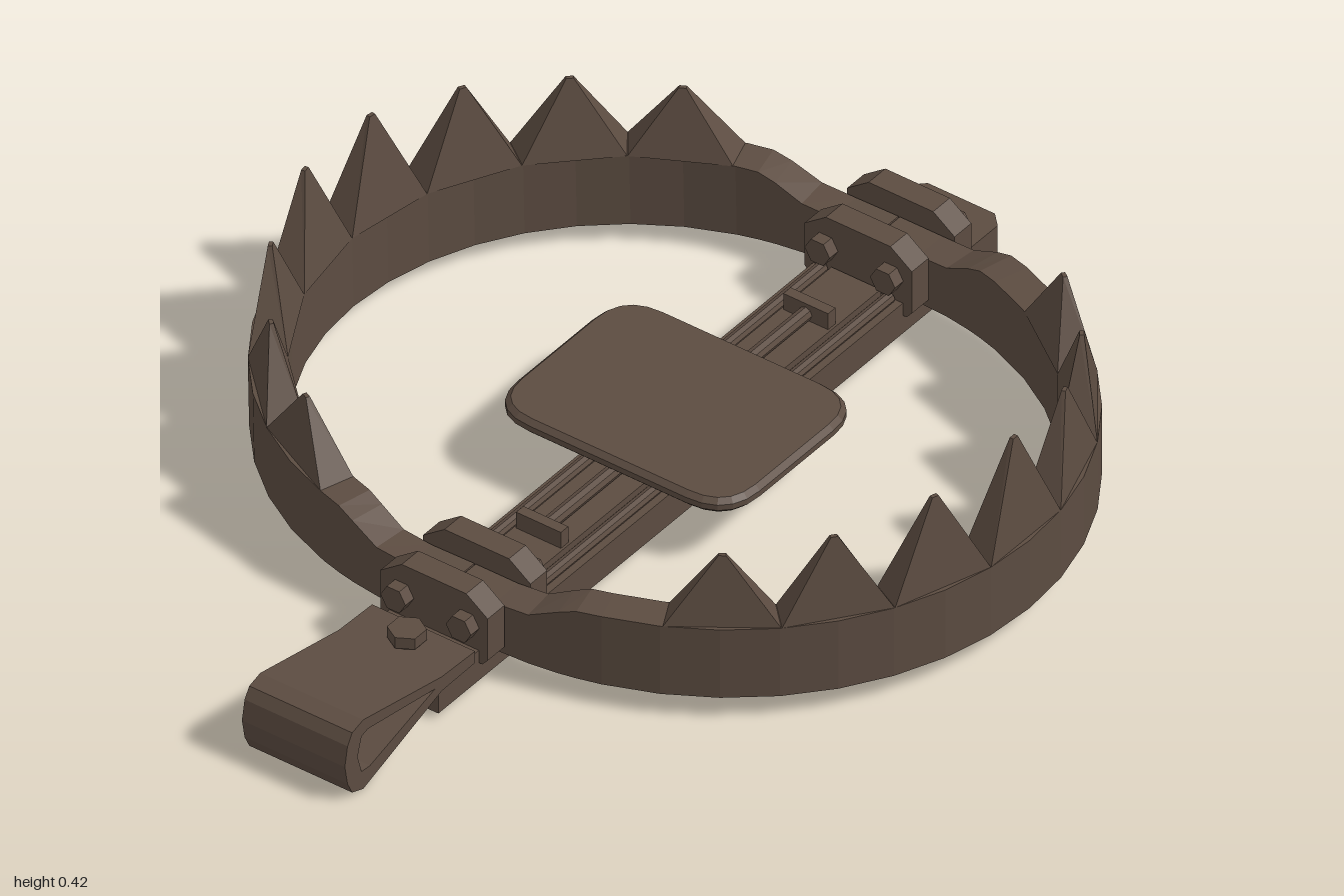
import * as THREE from 'three';

const CX = 0.145;          // centre of the jaws along x
const RX = 0.635, RZ = 0.66, OFF = 0.095, HALF = 0.036;
const rad = THREE.MathUtils.degToRad;

// Solid lofted through four-cornered rings, capped at both ends
function loft(rings) {
  const pos = [];
  const quad = (a, b, c, d) => [a, b, c, a, c, d].forEach(p => pos.push(...p));
  for (let i = 0; i < rings.length - 1; i++) {
    const A = rings[i], B = rings[i + 1];
    for (let k = 0; k < 4; k++) {
      const n = (k + 1) % 4;
      quad(A[k], B[k], B[n], A[n]);
    }
  }
  quad(...rings[0]);
  quad(...[...rings[rings.length - 1]].reverse());
  const g = new THREE.BufferGeometry();
  g.setAttribute('position', new THREE.Float32BufferAttribute(pos, 3));
  g.computeVertexNormals();
  return g;
}

// Point on the jaw's oval; d is the offset outward from the centre line
const onOval = (deg, d, y) =>
  [(RX + d) * Math.sin(rad(deg)), y, OFF + (RZ + d) * Math.cos(rad(deg))];

const polygon = pts => new THREE.Shape(pts.map(p => new THREE.Vector2(p[0], p[1])));

function roundedRect(w, h, r) {
  const s = new THREE.Shape();
  const x = w / 2, y = h / 2;
  s.moveTo(-x + r, -y);
  s.lineTo(x - r, -y); s.quadraticCurveTo(x, -y, x, -y + r);
  s.lineTo(x, y - r); s.quadraticCurveTo(x, y, x - r, y);
  s.lineTo(-x + r, y); s.quadraticCurveTo(-x, y, -x, y - r);
  s.lineTo(-x, -y + r); s.quadraticCurveTo(-x, -y, -x + r, -y);
  return s;
}

export function createModel() {
  const root = new THREE.Group();
  root.name = 'jawTrap';
  const iron = new THREE.MeshStandardMaterial({ color: 0x5c4c41, flatShading: true });
  iron.name = 'rustyIron';

  const add = (parent, name, geo, x = 0, y = 0, z = 0) => {
    const m = new THREE.Mesh(geo, iron);
    m.name = name;
    m.position.set(x, y, z);
    parent.add(m);
    return m;
  };
  const box = (name, w, h, d, x, y, z) => add(root, name, new THREE.BoxGeometry(w, h, d), x, y, z);

  // Curved jaw band with a row of pointed teeth
  function makeJaw(name, teeth) {
    const jaw = new THREE.Group();
    jaw.name = name;
    const bottom = 0.047;
    const topAt = z => z > 0.27 ? 0.2 : 0.152 + 0.048 * THREE.MathUtils.smoothstep(z, 0.14, 0.27);
    const ring = (deg, z) => {
      const top = topAt(z ?? onOval(deg, 0, 0)[2]);
      return [[-HALF, bottom], [HALF, bottom], [HALF, top], [-HALF, top]].map(([d, y]) => {
        const p = onOval(deg, d, y);
        if (z !== undefined) p[2] = z;
        return p;
      });
    };
    const half = [90, 84, 79, 76, 72, 63, 54, 45, 36, 27, 18, 9];
    const angles = [...half.map(a => -a), 0, ...[...half].reverse()];
    add(jaw, 'jawBand', loft([ring(-90, 0), ...angles.map(a => ring(a)), ring(90, 0)]));

    const step = 17.9;
    for (let i = 0; i < teeth; i++) {
      const a = (i - (teeth - 1) / 2) * step;
      const tipY = 0.418 - 0.0016 * Math.abs(a) + 0.000004 * a * a;
      const loop = (w, d, y) =>
        [[-w, -d], [-w, d], [w, d], [w, -d]].map(([da, dd]) => onOval(a + da, dd, y));
      add(jaw, 'tooth', loft([loop(0.6, 0.004, tipY), loop(step / 2, HALF, 0.199)]));
    }
    jaw.position.x = CX;
    root.add(jaw);
    return jaw;
  }
  makeJaw('frontJaw', 7);
  const back = makeJaw('backJaw', 8);
  back.rotation.set(-0.02, Math.PI, 0);

  // Base bar with clipped corners
  const bar = new THREE.ExtrudeGeometry(polygon([
    [-0.7, -0.1], [0.975, -0.1], [1, -0.075], [1, 0.075], [0.975, 0.1], [-0.7, 0.1],
  ]), { depth: 0.068, bevelEnabled: false });
  bar.rotateX(-Math.PI / 2);
  add(root, 'baseBar', bar, 0, 0.012, 0);

  // Raised strip, rods and stops on the bar
  box('centreStrip', 1.08, 0.016, 0.11, CX, 0.086, 0);
  for (const s of [-1, 1]) {
    const rod = new THREE.CylinderGeometry(0.012, 0.012, 1.08, 8).rotateZ(Math.PI / 2);
    add(root, 'sideRod', rod, CX, 0.086, s * 0.075);
    box('rodStop', 0.022, 0.04, 0.1, CX + s * 0.4, 0.11, 0);
  }
  add(root, 'panRod', new THREE.CylinderGeometry(0.014, 0.014, 0.8, 8).rotateZ(Math.PI / 2), CX, 0.108, 0);

  // Trigger pan on a short post
  const pan = new THREE.ExtrudeGeometry(roundedRect(0.39, 0.52, 0.085), {
    depth: 0.012, bevelEnabled: true, bevelThickness: 0.01, bevelSize: 0.01, bevelSegments: 1, curveSegments: 5,
  });
  pan.rotateX(-Math.PI / 2);
  add(root, 'triggerPan', pan, CX, 0.128, 0);
  box('panPost', 0.1, 0.05, 0.08, CX, 0.1, 0);

  // Hinge brackets: two plates either side of the jaw ends, with bolts
  const plateShape = polygon([
    [-0.108, 0.052], [0.108, 0.052], [0.12, 0.066], [0.12, 0.16], [0.072, 0.195],
    [-0.072, 0.195], [-0.12, 0.16], [-0.12, 0.066],
  ]);
  for (const s of [-1, 1]) {
    const hinge = new THREE.Group();
    hinge.name = s > 0 ? 'leftHinge' : 'rightHinge';
    hinge.position.x = CX + s * RX;
    for (const off of [-0.064, 0.064]) {
      const plate = new THREE.ExtrudeGeometry(plateShape, { depth: 0.05, bevelEnabled: false });
      plate.translate(0, 0, -0.025).rotateY(Math.PI / 2);
      add(hinge, 'hingePlate', plate, off, 0, 0);
    }
    for (const z of [-0.073, 0.073]) {
      const shaft = new THREE.CylinderGeometry(0.014, 0.014, 0.2, 8).rotateZ(Math.PI / 2);
      add(hinge, 'boltShaft', shaft, 0, 0.13, z);
      for (const e of [-1, 1]) {
        const head = new THREE.CylinderGeometry(0.028, 0.028, 0.026, 6).rotateZ(Math.PI / 2);
        add(hinge, 'boltHead', head, e * 0.101, 0.13, z);
      }
    }
    root.add(hinge);
  }

  // Folded spring loop at the end of the bar
  const loopShape = polygon([
    [-0.61, 0.078], [-0.61, 0.104], [-0.71, 0.108], [-0.945, 0.156], [-0.978, 0.147], [-0.992, 0.125],
    [-1, 0.083], [-0.992, 0.04], [-0.978, 0.012], [-0.945, 0], [-0.71, 0.076],
  ]);
  loopShape.holes.push(new THREE.Path([
    [-0.73, 0.093], [-0.925, 0.04], [-0.95, 0.042], [-0.962, 0.083], [-0.95, 0.122], [-0.93, 0.127],
  ].map(p => new THREE.Vector2(p[0], p[1]))));
  add(root, 'springLoop', new THREE.ExtrudeGeometry(loopShape, { depth: 0.23, bevelEnabled: false }), 0, 0, -0.115);
  add(root, 'loopWasher', new THREE.CylinderGeometry(0.028, 0.028, 0.01, 12), -0.66, 0.107, 0);
  add(root, 'loopBolt', new THREE.CylinderGeometry(0.036, 0.036, 0.024, 6).rotateY(Math.PI / 6), -0.66, 0.123, 0);

  return root;
}
